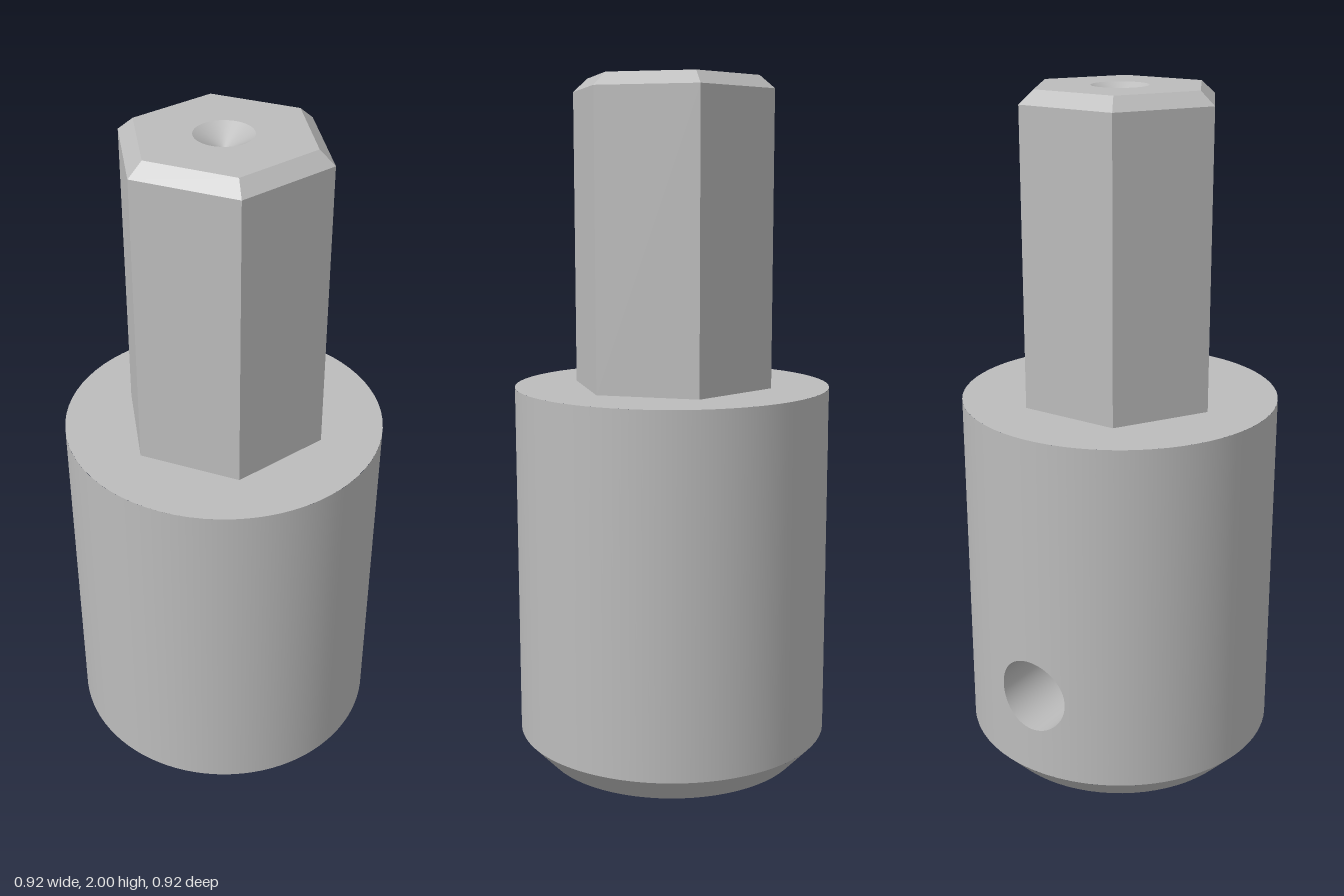
import * as THREE from 'three';

const steel = new THREE.MeshStandardMaterial({ color: 0xbcbcbc });
steel.name = 'steel grey';

const BODY_R = 0.46, BODY_H = 1.12, CHAMFER = 0.08;
const BORE_R = 0.23, BORE_DEPTH = 0.8;
const HOLE_R = 0.11, HOLE_Y = 0.33;
const HALF = 0.75; // half angle of the wall panel that holds the cross hole

function add(group, name, geometry) {
  const mesh = new THREE.Mesh(geometry, steel);
  mesh.name = name;
  group.add(mesh);
  return mesh;
}

// One turned face between two profile points; rising profiles face outwards
function turned(r0, y0, r1, y1, start = 0, length = Math.PI * 2) {
  const profile = [new THREE.Vector2(r0, y0), new THREE.Vector2(r1, y1)];
  return new THREE.LatheGeometry(profile, 72, start, length);
}

// Surface from a rule giving position and normal at (i, j)
function grid(ni, nj, rule, flip = false) {
  const positions = [], normals = [], index = [];
  for (let i = 0; i <= ni; i++) {
    for (let j = 0; j <= nj; j++) {
      const { p, n } = rule(i / ni, j / nj);
      positions.push(...p);
      normals.push(...n);
      if (i === ni || j === nj) continue;
      const a = i * (nj + 1) + j, b = a + 1, c = a + nj + 1, d = c + 1;
      if (flip) index.push(a, c, b, b, c, d);
      else index.push(a, b, c, b, d, c);
    }
  }
  const geometry = new THREE.BufferGeometry();
  geometry.setAttribute('position', new THREE.Float32BufferAttribute(positions, 3));
  geometry.setAttribute('normal', new THREE.Float32BufferAttribute(normals, 3));
  geometry.setIndex(index);
  return geometry;
}

// Curved back panel from y0 to y1 with the round cross hole cut through it
function panelWithHole(radius, y0, y1, outward) {
  const corners = [[HALF, y0], [HALF, y1], [-HALF, y1], [-HALF, y0]];
  const sign = outward ? 1 : -1;
  return grid(64, 10, (u, v) => {
    const side = Math.min(3, Math.floor(u * 4)), f = u * 4 - side;
    const from = corners[side], to = corners[(side + 1) % 4];
    const t = u * Math.PI * 2 - Math.PI / 4;
    const holeAngle = Math.asin(HOLE_R * Math.cos(t) / radius);
    const holeY = HOLE_Y + HOLE_R * Math.sin(t);
    const a = THREE.MathUtils.lerp(holeAngle, THREE.MathUtils.lerp(from[0], to[0], f), v);
    const y = THREE.MathUtils.lerp(holeY, THREE.MathUtils.lerp(from[1], to[1], f), v);
    const s = Math.sin(a), c = Math.cos(a);
    return { p: [radius * s, y, -radius * c], n: [sign * s, 0, -sign * c] };
  }, outward);
}

// Wall of the cross hole, running from the outside into the bore
function crossHole() {
  return grid(64, 1, (u, v) => {
    const t = u * Math.PI * 2, c = Math.cos(t), s = Math.sin(t);
    const radius = v === 0 ? BODY_R : BORE_R;
    const z = -Math.sqrt(radius ** 2 - (HOLE_R * c) ** 2);
    return { p: [HOLE_R * c, HOLE_Y + HOLE_R * s, z], n: [-c, -s, 0] };
  });
}

// Open six-sided band with corners on the x axis and flat faces
function hexBand(top, bottom, y0, y1) {
  const band = new THREE.CylinderGeometry(top, bottom, y1 - y0, 6, 1, true, Math.PI / 2);
  band.translate(0, (y0 + y1) / 2, 0);
  const flat = band.toNonIndexed();
  flat.computeVertexNormals();
  return flat;
}

export function createModel() {
  const model = new THREE.Group();
  model.name = 'hexShankSocket';

  // Round body
  const body = new THREE.Group();
  body.name = 'body';
  model.add(body);
  const start = Math.PI + HALF, rest = 2 * (Math.PI - HALF);
  add(body, 'bodyWall', turned(BODY_R, CHAMFER, BODY_R, BODY_H, start, rest));
  add(body, 'bodyBackPanel', panelWithHole(BODY_R, CHAMFER, BODY_H, true));
  add(body, 'bodyTop', turned(BODY_R, BODY_H, 0, BODY_H));
  add(body, 'bottomChamfer', turned(0.385, 0, BODY_R, CHAMFER));
  add(body, 'bottomRing', turned(BORE_R, 0, 0.385, 0));

  // Bore from below and the cross hole that meets it
  add(body, 'boreWall', turned(BORE_R, BORE_DEPTH, BORE_R, 0, start, rest));
  add(body, 'boreBackPanel', panelWithHole(BORE_R, 0, BORE_DEPTH, false));
  add(body, 'boreEnd', turned(0, BORE_DEPTH, BORE_R, BORE_DEPTH));
  add(body, 'crossHole', crossHole());

  // Hexagonal shank with a chamfered tip
  const shank = new THREE.Group();
  shank.name = 'shank';
  model.add(shank);
  const hexR = 0.297, tipR = 0.253, dimpleR = 0.08, tipY = 1.963;
  add(shank, 'shankSides', hexBand(hexR, hexR, BODY_H, tipY));
  add(shank, 'shankChamfer', hexBand(tipR, hexR, tipY, 2));

  // Flat tip with its conical centre mark
  const hex = new THREE.Shape();
  for (let i = 0; i < 6; i++) {
    const a = i * Math.PI / 3;
    hex[i ? 'lineTo' : 'moveTo'](tipR * Math.cos(a), tipR * Math.sin(a));
  }
  hex.closePath();
  hex.holes.push(new THREE.Path().absarc(0, 0, dimpleR, 0, Math.PI * 2, true));
  const tip = new THREE.ShapeGeometry(hex, 36);
  tip.rotateX(-Math.PI / 2).translate(0, 2, 0);
  add(shank, 'shankTip', tip);
  add(shank, 'centreMark', turned(dimpleR, 2, 0, 1.952));

  return model;
}
